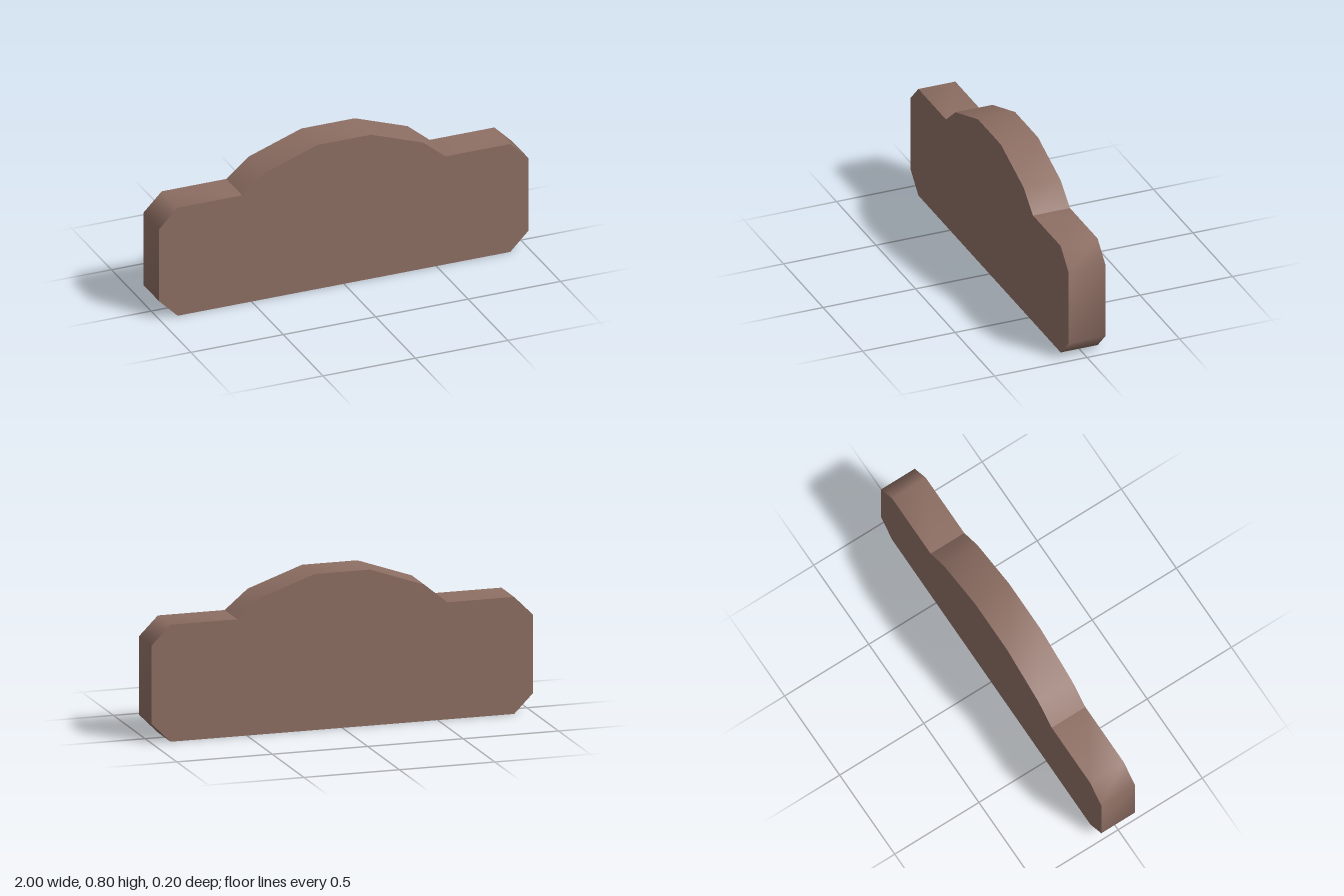
import * as THREE from 'three';

const HALF_DEPTH = 0.1;

// Right half outlines, counterclockwise; the left half is mirrored
const bodyHalf = [[0.9, 0], [1, 0.1], [1, 0.5], [0.9, 0.6], [0.55, 0.6]];
const archHalf = [[0.55, 0.6], [0.43, 0.7], [0.145, 0.8]];

const mirrored = (points) => points.map(([x, y]) => [-x, y]).reverse();

// Smooth-shaded band that follows an outline from front to back
function rimGeometry(outline) {
  const positions = [];
  const indices = [];
  outline.forEach(([x, y], i) => {
    positions.push(x, y, HALF_DEPTH, x, y, -HALF_DEPTH);
    if (i < outline.length - 1) {
      const a = i * 2;
      indices.push(a, a + 1, a + 3, a, a + 3, a + 2);
    }
  });
  const geometry = new THREE.BufferGeometry();
  geometry.setAttribute('position', new THREE.Float32BufferAttribute(positions, 3));
  geometry.setIndex(indices);
  geometry.computeVertexNormals();
  return geometry;
}

export function createModel() {
  const group = new THREE.Group();
  group.name = 'archedPanel';

  const brown = new THREE.MeshStandardMaterial({ color: 0x8d6e63 });
  brown.name = 'brown';

  const add = (name, geometry) => {
    const mesh = new THREE.Mesh(geometry, brown);
    mesh.name = name;
    group.add(mesh);
    return mesh;
  };

  const bodyOutline = [...mirrored(bodyHalf), ...bodyHalf];
  const archOutline = [...archHalf, ...mirrored(archHalf)];

  // Rims: the sharp creases lie where the arch meets the shoulders
  add('bodyRim', rimGeometry(bodyOutline));
  add('archRim', rimGeometry(archOutline));

  // Flat front and back faces
  const shape = new THREE.Shape(
    [...bodyOutline, ...archOutline.slice(1, -1)].map(([x, y]) => new THREE.Vector2(x, y))
  );
  const face = new THREE.ShapeGeometry(shape);
  add('frontFace', face).position.z = HALF_DEPTH;
  const back = add('backFace', face);
  back.position.z = -HALF_DEPTH;
  back.rotation.y = Math.PI;

  return group;
}
